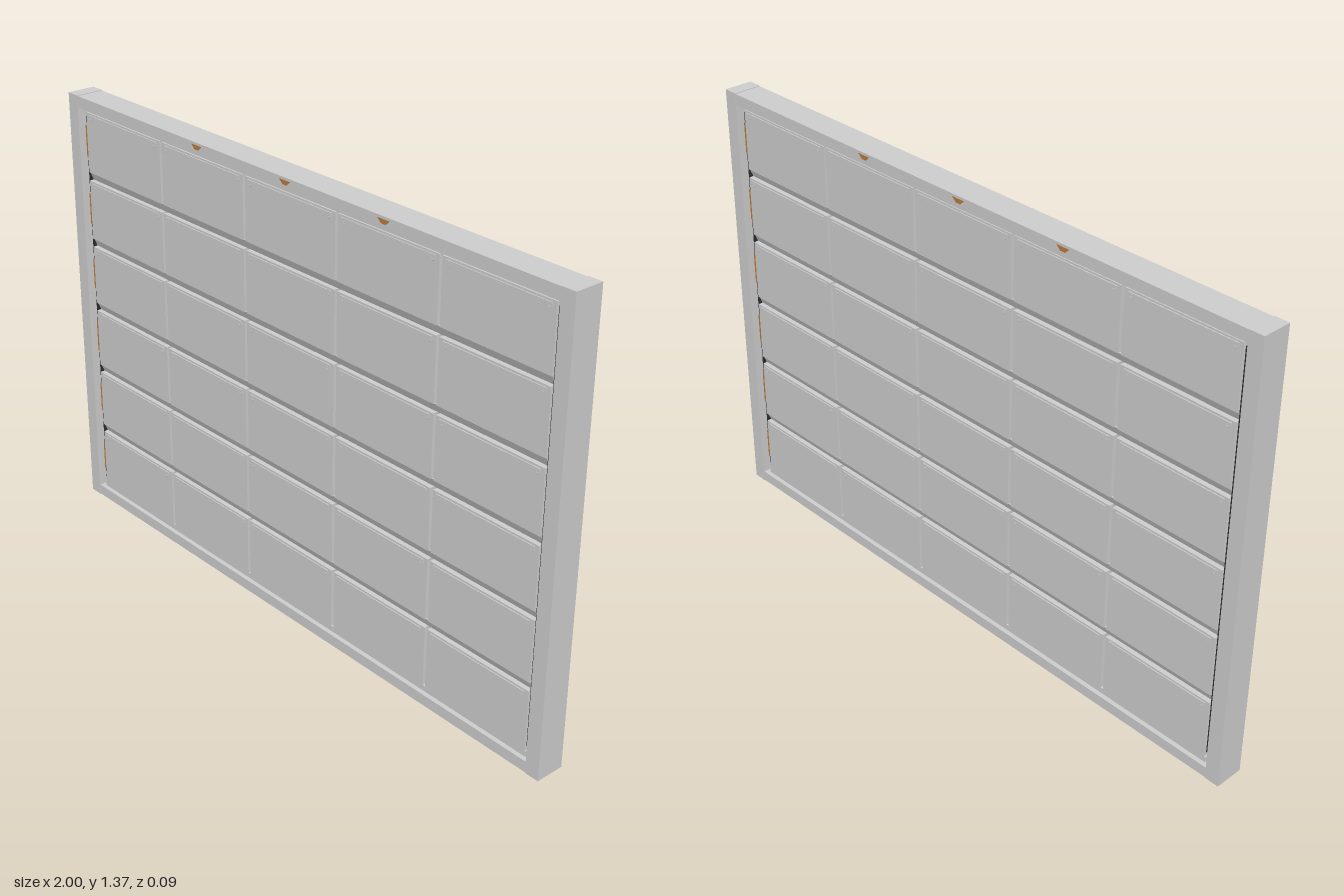
import * as THREE from 'three';

const grey = new THREE.MeshStandardMaterial({ color: 0xcccccc });
const dark = new THREE.MeshStandardMaterial({ color: 0x2b2d30 });
const orange = new THREE.MeshStandardMaterial({ color: 0xb87a3c });

const COLS = 5, ROWS = 6;
const PITCH_X = 0.376, PITCH_Y = 0.2155;
const PANEL_W = 0.366, PANEL_H = 0.189, PANEL_Z = 0.03;
const FIRST_Y = 0.05;

export function createModel() {
  const model = new THREE.Group();

  const add = (parent, name, geometry, material, x, y, z) => {
    const mesh = new THREE.Mesh(geometry, material);
    mesh.name = name;
    mesh.position.set(x, y, z);
    parent.add(mesh);
    return mesh;
  };
  const box = (parent, name, w, h, d, x, y, z, material = grey) =>
    add(parent, name, new THREE.BoxGeometry(w, h, d), material, x, y, z);

  // Outer frame: two full-depth posts with rails between them
  const frame = new THREE.Group();
  frame.name = 'frame';
  model.add(frame);
  for (const s of [-1, 1]) {
    box(frame, 'sidePost', 0.045, 1.365, 0.09, s * 0.9775, 0.6825, 0);
    box(frame, 'sideChannel', 0.02, 1.3, 0.036, s * 0.947, 0.68, 0);
  }
  box(frame, 'topRail', 1.908, 0.035, 0.088, 0, 1.346, 0);
  box(frame, 'bottomRail', 1.908, 0.034, 0.088, 0, 0.018, 0);
  box(frame, 'upperSill', 1.88, 0.016, 0.05, 0, 1.322, 0);
  box(frame, 'lowerSill', 1.88, 0.018, 0.06, 0, 0.043, 0);

  // Cross bars between the rows, tapering towards the underside
  const section = new THREE.Shape();
  section.moveTo(-0.027, 0.014);
  section.lineTo(-0.015, -0.014);
  section.lineTo(0.015, -0.014);
  section.lineTo(0.027, 0.014);
  section.closePath();
  const barGeometry = new THREE.ExtrudeGeometry(section, { depth: 1.87, bevelEnabled: false });
  barGeometry.translate(0, 0, -0.935);
  barGeometry.rotateY(Math.PI / 2);
  for (let r = 1; r < ROWS; r++) {
    const y = FIRST_Y + r * PITCH_Y - (PITCH_Y - PANEL_H) / 2;
    add(frame, 'crossBar', barGeometry, grey, 0, y, 0);
  }

  // Thin mullions behind the gaps between the columns
  for (let c = 1; c < COLS; c++) {
    box(frame, 'mullion', 0.012, 1.28, 0.03, (c - COLS / 2) * PITCH_X, 0.685, 0);
  }

  // Grid of panels, each with a slim lip and two end studs on both faces
  const studGeometry = new THREE.CylinderGeometry(0.004, 0.004, 0.006, 10);
  studGeometry.rotateX(Math.PI / 2);
  for (let r = 0; r < ROWS; r++) {
    for (let c = 0; c < COLS; c++) {
      const panel = new THREE.Group();
      panel.name = 'panel';
      panel.position.set((c - (COLS - 1) / 2) * PITCH_X, FIRST_Y + r * PITCH_Y + PANEL_H / 2, 0);
      model.add(panel);
      box(panel, 'panelBoard', PANEL_W, PANEL_H, PANEL_Z * 2, 0, 0, 0);
      for (const s of [-1, 1]) {
        box(panel, 'panelLip', 0.34, 0.012, 0.004, 0, PANEL_H / 2 - 0.012, s * (PANEL_Z + 0.001));
        for (const e of [-1, 1]) {
          add(panel, 'lipStud', studGeometry, grey, e * 0.16, PANEL_H / 2 - 0.02, s * (PANEL_Z + 0.001));
        }
      }
    }
  }

  // Dark hinge strips beside the panels, with a coloured contact per row
  for (const s of [-1, 1]) {
    for (const f of [-1, 1]) {
      box(model, 'hingeStrip', 0.01, 1.24, 0.008, s * 0.941, 0.685, f * 0.02, dark);
    }
    for (let r = 0; r < ROWS; r++) {
      const y = FIRST_Y + r * PITCH_Y + PANEL_H / 2;
      box(model, 'contact', 0.005, 0.1, 0.006, s * 0.945, y, -s * 0.023, orange);
    }
  }

  // Small pointed clips on both faces of the top rail
  const clip = new THREE.Shape();
  clip.moveTo(-0.022, 0.006);
  clip.lineTo(-0.008, -0.007);
  clip.lineTo(0.008, -0.007);
  clip.lineTo(0.022, 0.006);
  clip.closePath();
  const clipGeometry = new THREE.ExtrudeGeometry(clip, { depth: 0.09, bevelEnabled: false });
  clipGeometry.translate(0, 0, -0.045);
  for (const x of [-0.376, 0, 0.376]) add(model, 'railClip', clipGeometry, orange, x, 1.35, 0);

  return model;
}
